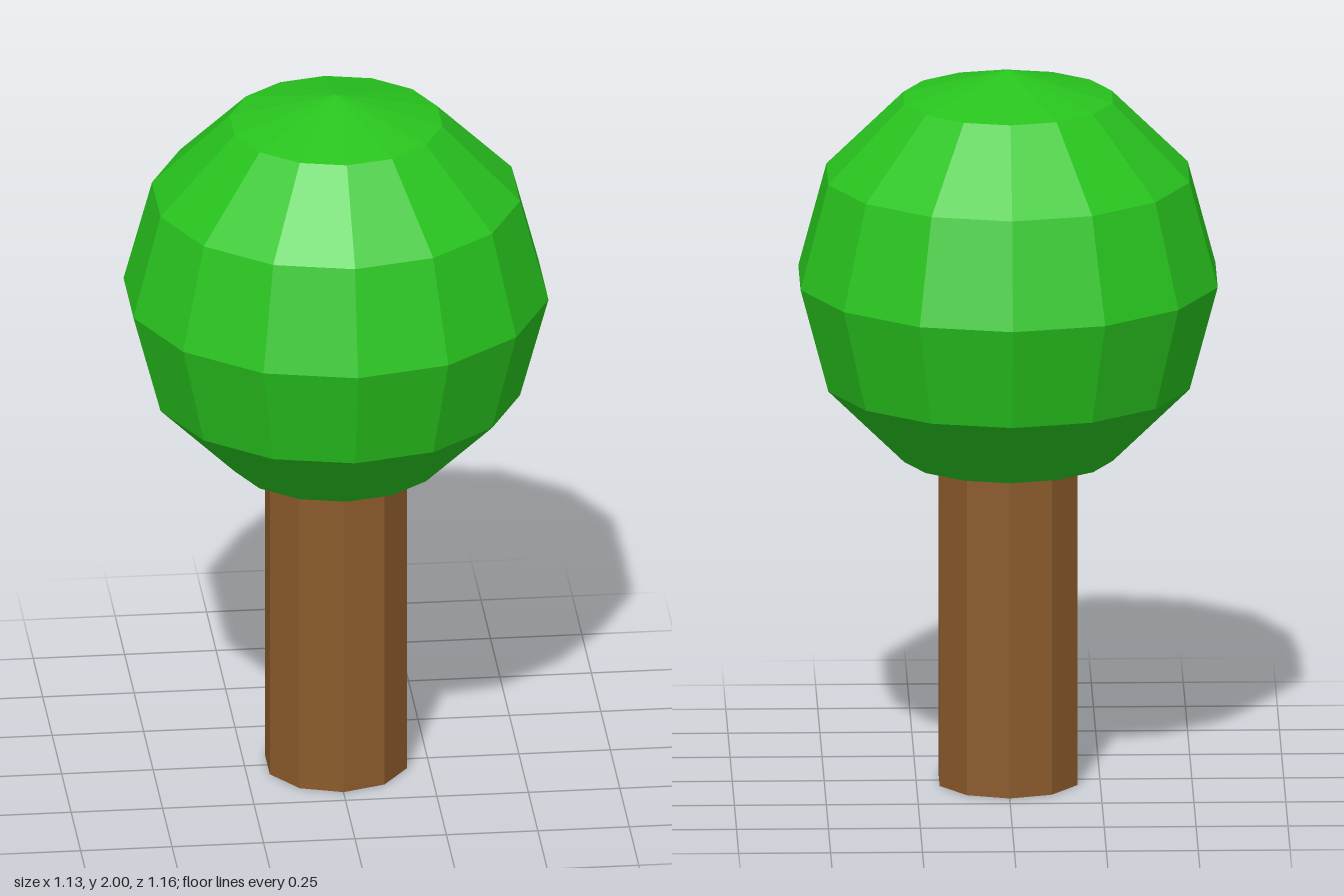
import * as THREE from 'three';

const TRUNK_RADIUS = 0.197;
const TRUNK_HEIGHT = 1.0; // upper end is buried in the foliage
const CROWN_RADIUS = 0.582;

function addPart(group, name, geometry, color, y) {
  const material = new THREE.MeshStandardMaterial({ color, flatShading: true });
  const mesh = new THREE.Mesh(geometry, material);
  mesh.name = name;
  mesh.position.y = y;
  group.add(mesh);
}

export function createModel() {
  const tree = new THREE.Group();
  tree.name = 'tree';

  // Ten-sided straight trunk, one corner facing the front
  const trunk = new THREE.CylinderGeometry(TRUNK_RADIUS, TRUNK_RADIUS, TRUNK_HEIGHT, 10);
  addPart(tree, 'trunk', trunk, 0x8b5a2b, TRUNK_HEIGHT / 2);

  // Faceted ball of foliage, turned so a corner faces the front
  const crown = new THREE.SphereGeometry(CROWN_RADIUS, 14, 6).rotateY(Math.PI / 2);
  addPart(tree, 'foliage', crown, 0x28c41e, 2 - CROWN_RADIUS);

  return tree;
}
